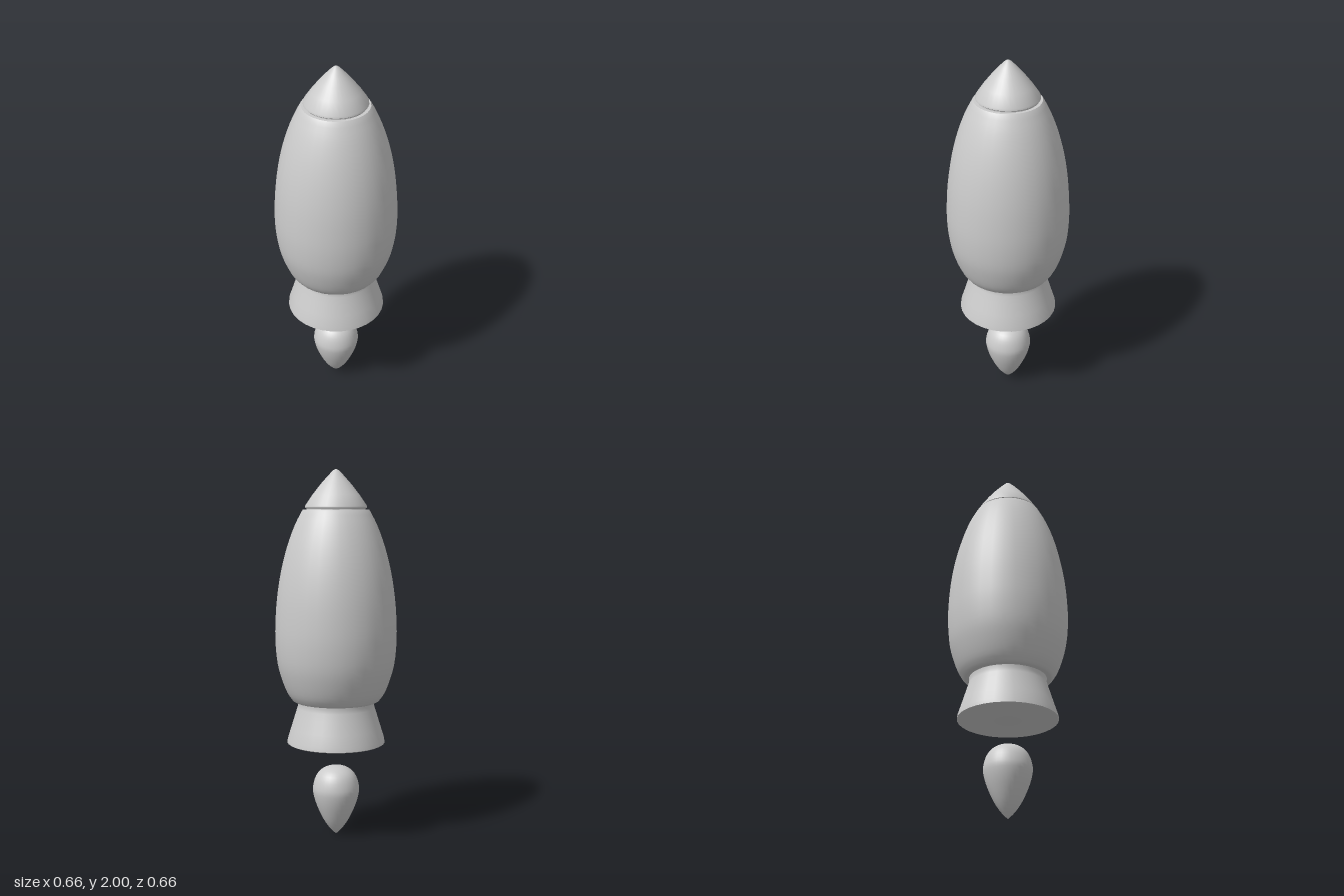
import * as THREE from 'three';
import { toCreasedNormals } from 'three/addons/utils/BufferGeometryUtils.js';

const SIDES = 32;
const material = new THREE.MeshStandardMaterial({ color: 0xcccccc });

// Turns a [radius, height] profile (listed bottom to top) into a round part with crisp rims.
function turned(name, profile) {
  const points = profile.map(([r, y]) => new THREE.Vector2(r, y).multiplyScalar(20));
  const lathe = new THREE.LatheGeometry(points, SIDES);
  // creased at a larger scale so that close vertices stay separate
  const geometry = toCreasedNormals(lathe, 0.7).scale(0.05, 0.05, 0.05);
  const mesh = new THREE.Mesh(geometry, material);
  mesh.name = name;
  return mesh;
}

// Smooth run of profile points through a few guide points.
function smooth(guides, count) {
  const curve = new THREE.SplineCurve(guides.map(([r, y]) => new THREE.Vector2(r, y)));
  return curve.getPoints(count).map((p) => [Math.max(p.x, 0), p.y]);
}

export function createModel() {
  const rocket = new THREE.Group();
  rocket.name = 'rocket';

  // Barrel-shaped hull with flat ends
  const hull = smooth([
    [0.238, 0.762], [0.264, 0.80], [0.292, 0.87], [0.316, 0.96], [0.327, 1.07], [0.327, 1.18],
    [0.317, 1.32], [0.295, 1.46], [0.262, 1.59], [0.222, 1.70], [0.183, 1.778],
  ], 30);
  rocket.add(turned('body', [
    [0, 0.757], [0.23, 0.757], ...hull, [0.176, 1.787], [0, 1.787],
  ]));

  // Nose cone on a narrow neck
  rocket.add(turned('noseNeck', [[0.158, 1.78], [0.158, 1.80]]));
  rocket.add(turned('noseCone', [
    [0, 1.793], [0.16, 1.793], [0.166, 1.798], [0.164, 1.808],
    [0.125, 1.865], [0.082, 1.92], [0.04, 1.967], [0.014, 1.993], [0, 2],
  ]));

  // Flared exhaust nozzle, closed underneath
  rocket.add(turned('nozzle', [
    [0, 0.52], [0.262, 0.523], [0.268, 0.527],
    [0.264, 0.55], [0.245, 0.61], [0.225, 0.675], [0.211, 0.72], [0.206, 0.74], [0.21, 0.77],
  ]));

  // Teardrop flame below the nozzle
  rocket.add(turned('flame', smooth([
    [0, 0], [0.035, 0.035], [0.072, 0.09], [0.108, 0.17], [0.126, 0.235], [0.127, 0.275],
    [0.113, 0.325], [0.088, 0.36], [0.048, 0.383], [0, 0.39],
  ], 22)));

  return rocket;
}
